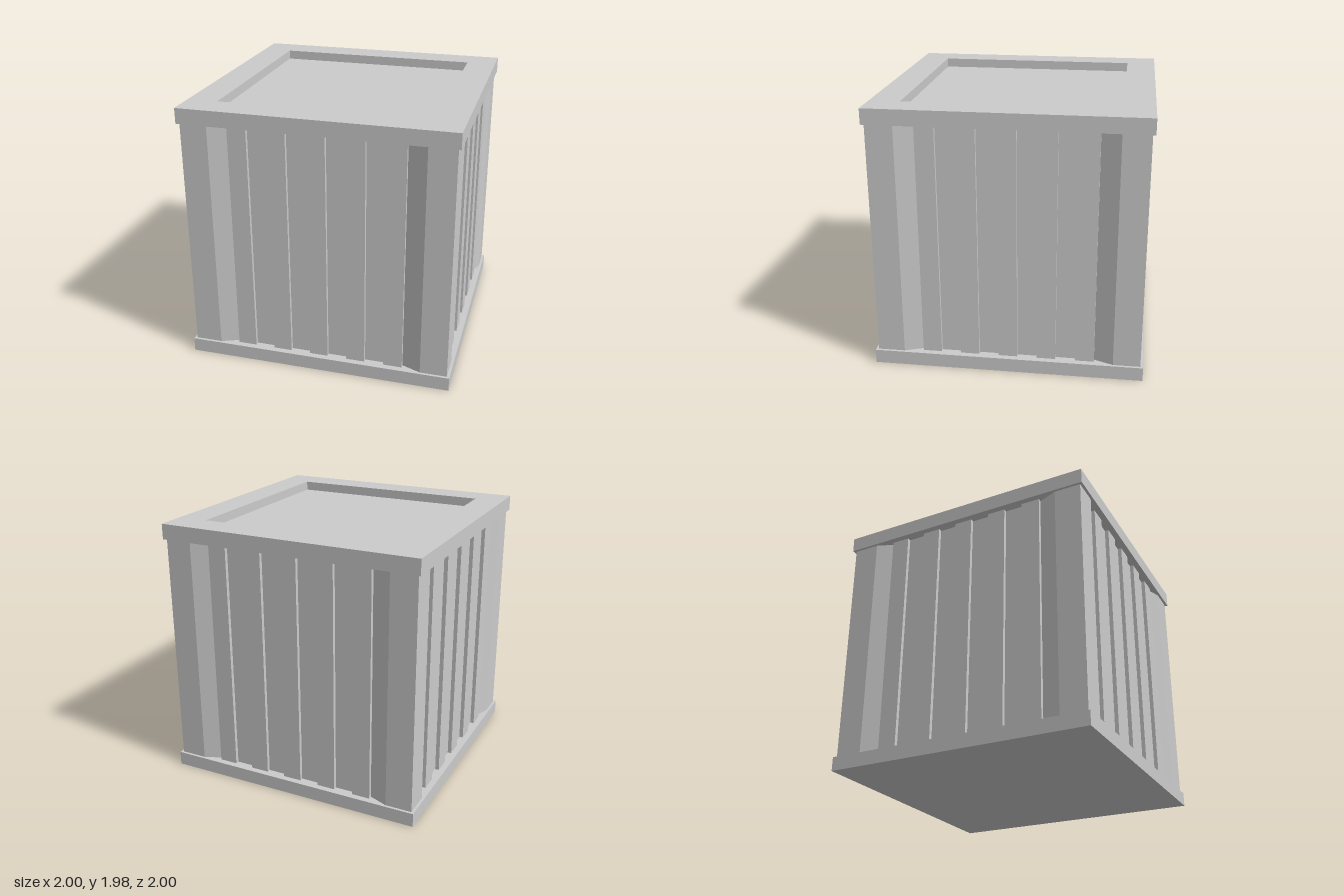
import * as THREE from 'three';

const material = new THREE.MeshStandardMaterial({ color: 0xcccccc, flatShading: true });

function addMesh(group, name, geometry, y) {
  const mesh = new THREE.Mesh(geometry, material);
  mesh.name = name;
  mesh.position.y = y;
  group.add(mesh);
}

// Extrude a plan outline straight up from y = 0
function extrudeUp(shape, height) {
  return new THREE.ExtrudeGeometry(shape, { depth: height, bevelEnabled: false }).rotateX(-Math.PI / 2);
}

function square(half, Type) {
  return new Type([[-1, -1], [1, -1], [1, 1], [-1, 1]].map(([x, y]) => new THREE.Vector2(x * half, y * half)));
}

export function createModel() {
  const group = new THREE.Group();
  group.name = 'container';
  const bottomTop = 0.105, lidBottom = 1.86, lidTop = 1.975, lidFloor = 1.905;

  // One corrugated side: corner post, slanted flank, five ribs, slanted flank
  const outer = 0.98, rib = 0.954, recess = 0.925;
  const side = [[-outer, outer], [-0.78, outer], [-0.64, recess]];
  for (let i = 0; i < 5; i++) {
    const a = -0.64 + i * 0.285, b = a + 0.14;
    if (i > 0) side.push([a, recess]);
    side.push([a, rib], [b, rib], [b, recess]);
  }
  side.push([0.78, outer]);

  // Repeat the side around the square
  const outline = [];
  for (let k = 0; k < 4; k++) {
    for (const [u, d] of side) {
      outline.push(new THREE.Vector2(u, -d).rotateAround(new THREE.Vector2(), k * Math.PI / 2));
    }
  }
  addMesh(group, 'corrugatedWalls', extrudeUp(new THREE.Shape(outline), lidBottom - bottomTop), bottomTop);

  // Base plate
  addMesh(group, 'basePlate', new THREE.BoxGeometry(2, bottomTop, 2), bottomTop / 2);

  // Lid rim around a sunken panel
  const rim = square(1, THREE.Shape);
  rim.holes.push(square(0.775, THREE.Path));
  addMesh(group, 'lidRim', extrudeUp(rim, lidTop - lidBottom), lidBottom);
  addMesh(group, 'lidPanel', new THREE.BoxGeometry(1.55, lidFloor - lidBottom, 1.55), (lidFloor + lidBottom) / 2);

  return group;
}
